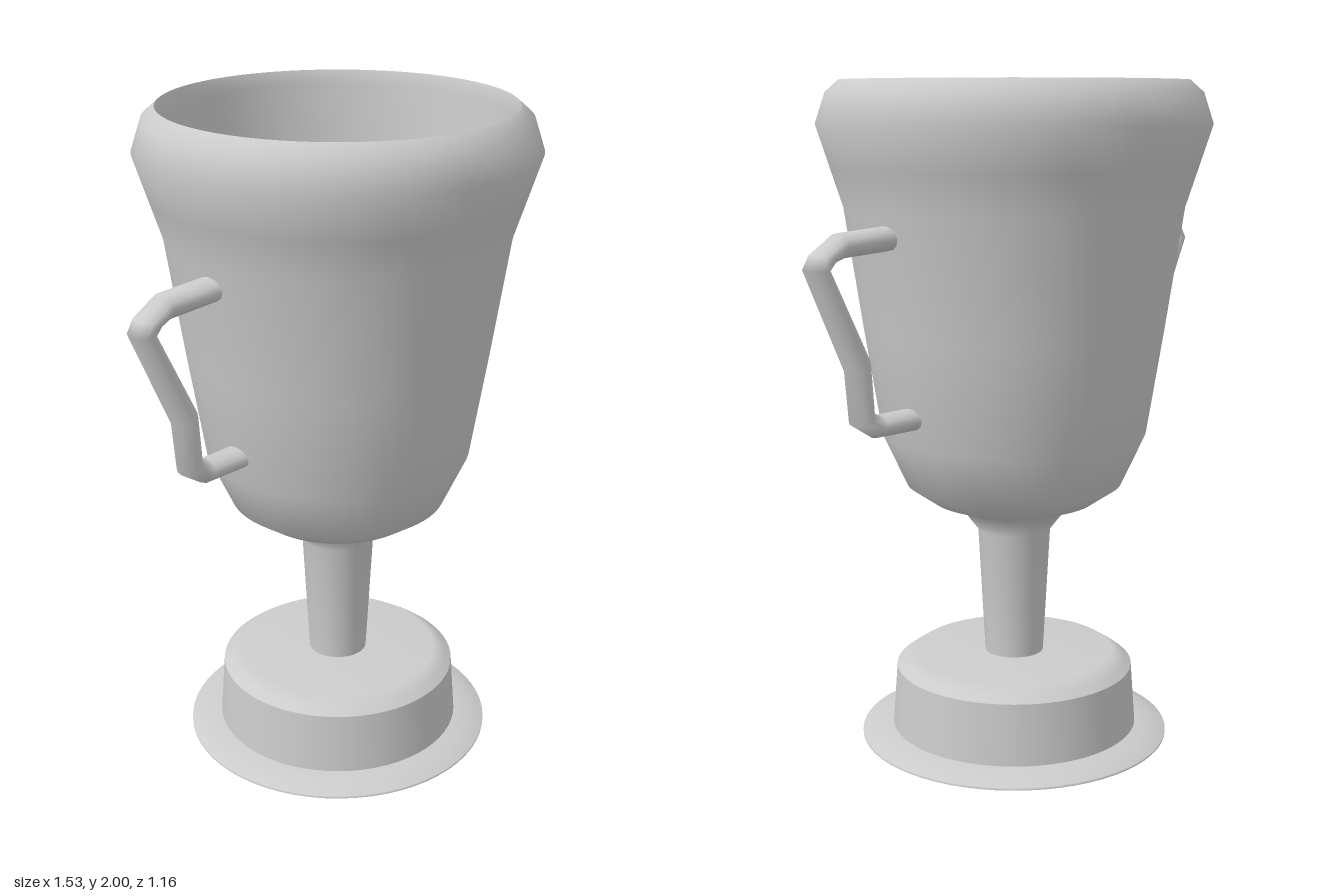
import * as THREE from 'three';

const material = new THREE.MeshStandardMaterial({ color: 0xcccccc, side: THREE.DoubleSide });

// Smooth surface of revolution from [radius, height] pairs
function lathe(name, profile) {
  const points = profile.map(([r, y]) => new THREE.Vector2(r, y));
  const mesh = new THREE.Mesh(new THREE.LatheGeometry(points, 64), material);
  mesh.name = name;
  return mesh;
}

// Handle sections, each [outer x, outer y, inner x, inner y]
const handleSections = [
  [0.48, 1.605, 0.48, 1.535],
  [0.66, 1.595, 0.655, 1.525],
  [0.746, 1.54, 0.68, 1.518],
  [0.767, 1.5, 0.70, 1.5],
  [0.635, 1.21, 0.57, 1.243],
  [0.62, 1.06, 0.56, 1.09],
  [0.555, 1.018, 0.525, 1.08],
  [0.395, 1.018, 0.395, 1.083],
];

// Bent bar lofted through oval cross-sections
function handle(name, side) {
  const sides = 12, halfWidth = 0.046;
  const positions = [], index = [];
  for (const [ox, oy, ix, iy] of handleSections) {
    for (let j = 0; j < sides; j++) {
      const a = (j / sides) * Math.PI * 2;
      const t = (1 + Math.cos(a)) / 2;
      positions.push(side * (ix + (ox - ix) * t), iy + (oy - iy) * t, halfWidth * Math.sin(a));
    }
  }
  for (let i = 0; i < handleSections.length - 1; i++) {
    for (let j = 0; j < sides; j++) {
      const k = (j + 1) % sides;
      const a = i * sides + j, b = i * sides + k;
      const c = a + sides, d = b + sides;
      if (side > 0) index.push(a, c, b, b, c, d);
      else index.push(a, b, c, b, d, c);
    }
  }
  const geometry = new THREE.BufferGeometry();
  geometry.setAttribute('position', new THREE.Float32BufferAttribute(positions, 3));
  geometry.setIndex(index);
  geometry.computeVertexNormals();
  const mesh = new THREE.Mesh(geometry, material);
  mesh.name = name;
  return mesh;
}

export function createModel() {
  const group = new THREE.Group();
  group.name = 'trophyCup';

  // Foot plate, drum and bevelled top, split where the edges are sharp
  group.add(
    lathe('footUnderside', [[0, 0], [0.476, 0]]),
    lathe('footFlange', [[0.476, 0], [0.476, 0.008], [0.423, 0.025], [0.38, 0.03]]),
    lathe('baseDrum', [[0.38, 0.03], [0.366, 0.217]]),
    lathe('baseTop', [[0.366, 0.217], [0.345, 0.233], [0.307, 0.258], [0, 0.258]]),
  );

  // Stem flaring into the bowl
  group.add(lathe('stem', [[0.09, 0.255], [0.111, 0.65], [0.16, 0.714], [0.25, 0.746]]));

  // Bowl outside with bulging rim, and the hollow inside
  group.add(
    lathe('bowl', [
      [0.16, 0.714], [0.25, 0.746], [0.328, 0.8], [0.4, 0.958], [0.45, 1.275], [0.503, 1.635],
      [0.54, 1.75], [0.58, 1.875], [0.55, 1.965], [0.51, 2],
    ]),
    lathe('bowlInside', [
      [0.51, 2], [0.497, 1.96], [0.49, 1.75], [0.475, 1.6], [0.425, 1.275], [0.375, 0.98],
      [0.28, 0.84], [0.13, 0.79], [0, 0.78],
    ]),
  );

  group.add(handle('leftHandle', 1), handle('rightHandle', -1));
  return group;
}
